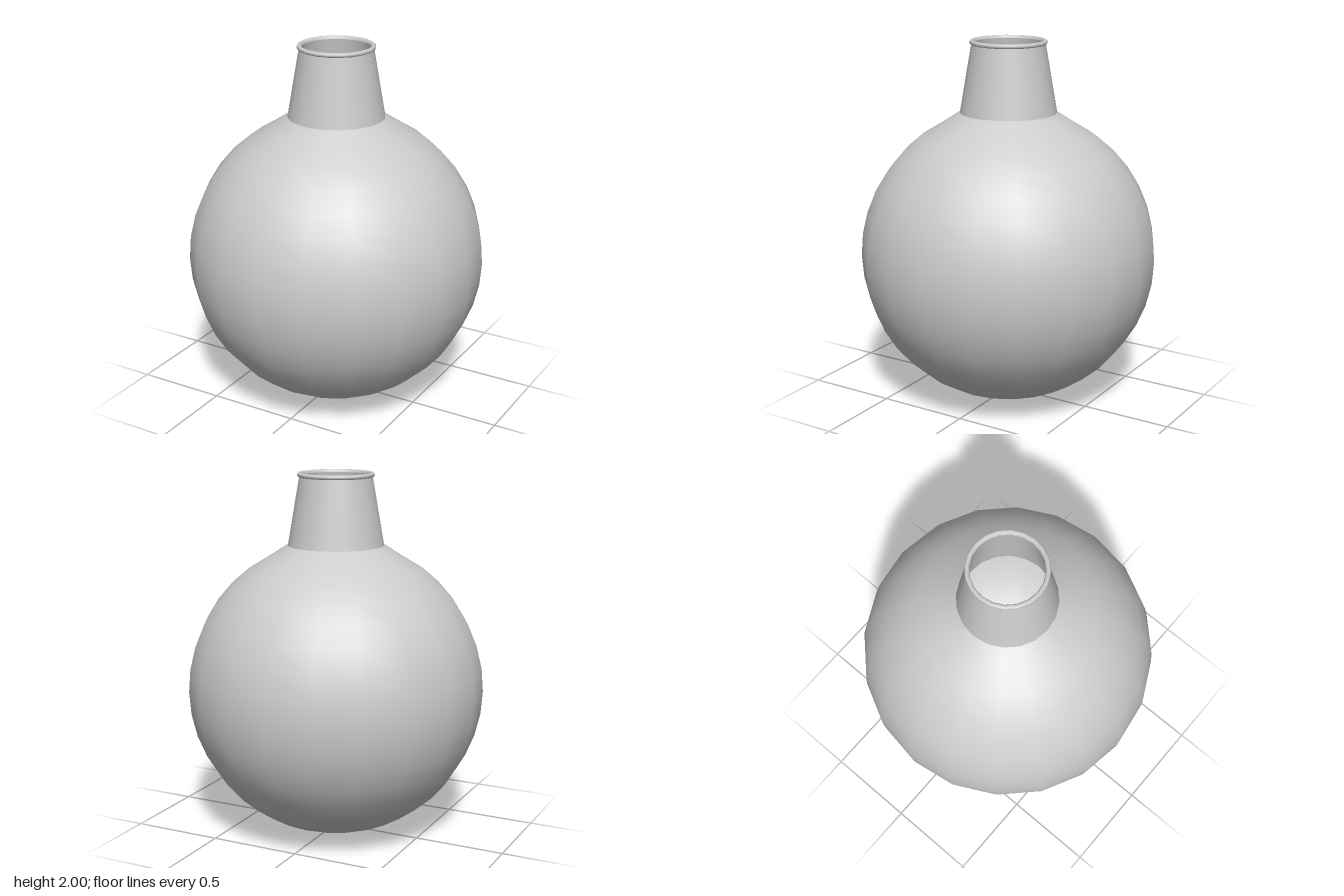
import * as THREE from 'three';

const SIDES = 20, R = 0.81, CY = 0.815, WALL = 0.02;
const material = new THREE.MeshStandardMaterial({ color: 0xcccccc, side: THREE.DoubleSide });

// Turned part from [radius, height] points; upward profiles face outward
function turned(name, profile) {
  const points = profile.map(([r, y]) => new THREE.Vector2(r, y));
  const mesh = new THREE.Mesh(new THREE.LatheGeometry(points, SIDES), material);
  mesh.name = name;
  return mesh;
}

// Round belly, bottom pole up to the neck joint, in 9 degree steps
function bellyProfile(radius, joint) {
  const profile = [];
  for (let i = 0; i < 18; i++) {
    const a = (i * Math.PI) / 20;
    profile.push([radius * Math.sin(a), CY - radius * Math.cos(a)]);
  }
  profile.push(joint);
  return profile;
}

export function createModel() {
  const group = new THREE.Group();
  group.name = 'flask';

  const joint = [0.264, 1.61], innerJoint = [0.244, 1.6];

  // Belly and its hollow
  group.add(turned('belly', bellyProfile(CY, joint)));
  group.add(turned('bellyInside', bellyProfile(R - WALL + 0.005, innerJoint).reverse()));

  // Tapered neck, outer and inner wall
  group.add(turned('neck', [joint, [0.2, 1.978]]));
  group.add(turned('neckInside', [[0.184, 1.985], innerJoint]));

  // Small rounded rim around the mouth
  group.add(turned('lip', [
    [0.199, 1.976], [0.206, 1.979], [0.21, 1.986], [0.209, 1.994],
    [0.204, 2], [0.192, 2], [0.186, 1.995], [0.184, 1.985],
  ]));

  return group;
}
